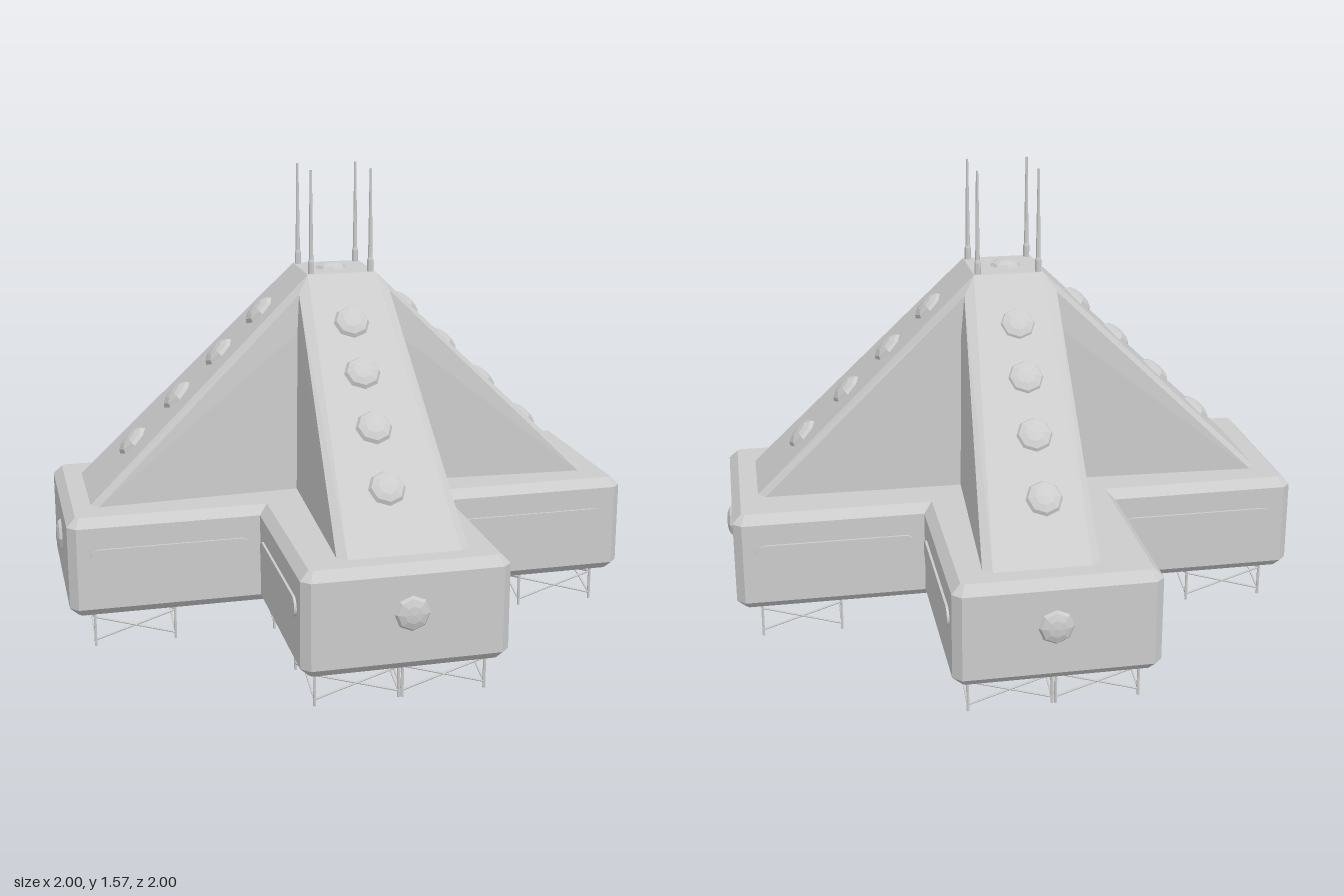
import * as THREE from 'three';
import { ConvexGeometry } from 'three/addons/geometries/ConvexGeometry.js';

const V = (x, y, z) => new THREE.Vector3(x, y, z);
const UP = V(0, 1, 0);
const material = new THREE.MeshStandardMaterial({ color: 0xcccccc, flatShading: true });

export function createModel() {
  const model = new THREE.Group();
  const add = (name, geometry, parent = model) => {
    const mesh = new THREE.Mesh(geometry, material);
    mesh.name = name;
    parent.add(mesh);
    return mesh;
  };
  const group = (name) => {
    const g = new THREE.Group();
    g.name = name;
    model.add(g);
    return g;
  };

  // Cross-shaped base with cut corners and bevelled rims
  const L = 0.98, W = 0.335, C = 0.028;
  const plan = [];
  for (let i = 0; i < 4; i++) {
    const c = [1, 0, -1, 0][i], s = [0, 1, 0, -1][i];
    for (const [x, y] of [[L - C, -W], [L, -W + C], [L, W - C], [L - C, W], [W, W]]) {
      plan.push(new THREE.Vector2(x * c - y * s, x * s + y * c));
    }
  }
  const baseGeo = new THREE.ExtrudeGeometry(new THREE.Shape(plan), {
    depth: 0.285, bevelEnabled: true, bevelThickness: 0.03, bevelSize: 0.03,
    bevelOffset: -0.03, bevelSegments: 1,
  });
  baseGeo.rotateX(-Math.PI / 2);
  add('crossBase', baseGeo).position.y = 0.155;

  // Shallow faceted dome standing on a surface with the given normal
  const domes = group('domes');
  const domeGeo = new THREE.SphereGeometry(1, 8, 3, 0, Math.PI * 2, 0, Math.PI / 2);
  const dome = (name, pos, normal, r = 0.062, h = 0.025) => {
    const m = add(name, domeGeo, domes);
    m.position.copy(pos);
    m.scale.set(r, h, r);
    m.quaternion.setFromUnitVectors(UP, normal.clone().normalize());
  };

  // Four sloping buttresses: s runs outward, l runs across
  const TOP = 1.215, SLOPE = 0.97;
  const arms = [
    { name: 'front', at: (s, y, l) => V(l, y, s), top: [-0.115, 0.125], foot: [-0.2, 0.225], s0: 0.11 },
    { name: 'back', at: (s, y, l) => V(l, y, -s), top: [-0.115, 0.125], foot: [-0.15, 0.225], s0: 0.13 },
    { name: 'right', at: (s, y, l) => V(-s, y, l), top: [-0.13, 0.11], foot: [-0.215, 0.21], s0: 0.115 },
    { name: 'left', at: (s, y, l) => V(s, y, l), top: [-0.13, 0.11], foot: [-0.165, 0.21], s0: 0.125 },
  ];
  for (const { name, at, top, foot, s0 } of arms) {
    const pts = [];
    [-1, 1].forEach((side, i) => {
      const t = top[i], f = foot[i];
      pts.push(
        at(0, TOP, t), at(s0, TOP, t),                                       // summit
        at(0, 1.155, t + side * 0.04), at(s0 + 0.04, 1.155, t + side * 0.04), // shoulder
        at(0.89, 0.468, f - side * 0.03), at(0.865, 0.468, f),               // foot
        at(0.89, 0.44, f - side * 0.03), at(0.865, 0.44, f),
        at(0, 0.44, t + side * 0.05),                                        // inner base
      );
    });
    add(name + 'Buttress', new ConvexGeometry(pts));

    // Row of domes up the slope, one on the end wall
    for (const s of [0.265, 0.41, 0.56, 0.72]) {
      dome(name + 'SlopeDome', at(s, TOP - SLOPE * (s - 0.12), 0), at(SLOPE, 1, 0));
    }
    dome(name + 'EndDome', at(L, 0.315, 0.012), at(1, 0, 0), 0.058, 0.02);
  }
  dome('summitDome', V(-0.005, TOP, -0.01), UP, 0.055, 0.02);

  // Long rounded panels on the side walls of each wing
  const panels = group('sidePanels');
  const half = 0.237, r = 0.033;
  const stadium = new THREE.Shape();
  stadium.absarc(half, 0, r, -Math.PI / 2, Math.PI / 2, false);
  stadium.absarc(-half, 0, r, Math.PI / 2, Math.PI * 1.5, false);
  const panelGeo = new THREE.ExtrudeGeometry(stadium, {
    depth: 0.012, bevelEnabled: false, curveSegments: 8,
  });
  for (let i = 0; i < 4; i++) {
    const face = new THREE.Group();
    face.name = 'wallPanels';
    face.rotation.y = i * Math.PI / 2;
    panels.add(face);
    for (const side of [-1, 1]) {
      add('panel', panelGeo, face).position.set(side * 0.638, 0.333, W - 0.004);
    }
  }

  // Tapered masts at the summit corners
  const masts = group('masts');
  const mastGeo = new THREE.LatheGeometry([
    [0, 0], [0.011, 0], [0.011, 0.04], [0.008, 0.05], [0.004, 0.355], [0, 0.355],
  ].map(([x, y]) => new THREE.Vector2(x, y)), 8);
  for (const x of [-0.1, 0.11]) {
    for (const z of [-0.115, 0.095]) add('mast', mastGeo, masts).position.set(x, TOP, z);
  }

  // Thin strut between two points
  const strutGeo = new THREE.CylinderGeometry(1, 1, 1, 6);
  const strut = (name, a, b, radius, parent) => {
    const d = b.clone().sub(a);
    const m = add(name, strutGeo, parent);
    m.position.copy(a).add(b).multiplyScalar(0.5);
    m.scale.set(radius, d.length(), radius);
    m.quaternion.setFromUnitVectors(UP, d.normalize());
  };

  // Square support frame: four posts with crossed braces on each side
  const frame = (cx, cz) => {
    const g = group('supportFrame');
    g.position.set(cx, 0, cz);
    const h = 0.136;
    const corners = [[-h, -h], [h, -h], [h, h], [-h, h]];
    corners.forEach(([x, z], i) => {
      const [u, w] = corners[(i + 1) % 4];
      strut('post', V(x, 0, z), V(x, 0.14, z), 0.005, g);
      strut('brace', V(x, 0.022, z), V(u, 0.105, w), 0.0035, g);
      strut('brace', V(x, 0.105, z), V(u, 0.022, w), 0.0035, g);
    });
  };
  for (const a of [-0.142, 0.142]) {
    for (const b of [-0.142, 0.142]) frame(a, b);
    for (const s of [-0.76, 0.76]) {
      frame(a, s);
      frame(s, a);
    }
  }

  return model;
}
